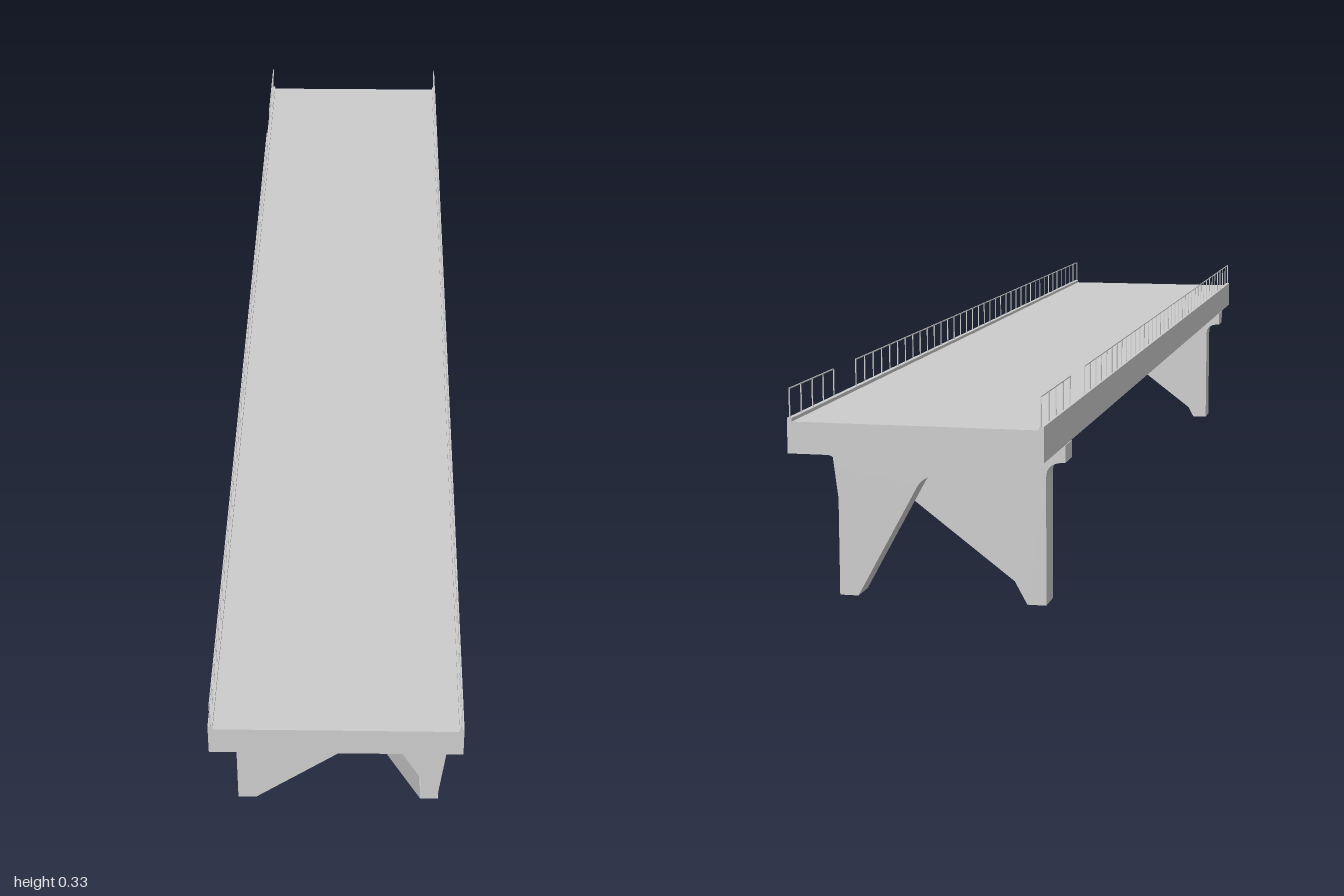
import * as THREE from 'three';
import { mergeGeometries } from 'three/addons/utils/BufferGeometryUtils.js';

const solid = new THREE.MeshStandardMaterial({ color: 0xcccccc, flatShading: true });
const thin = new THREE.MeshStandardMaterial({ color: 0xcccccc, flatShading: true, side: THREE.DoubleSide });
const HALF = 0.0225; // half thickness of a pier

function part(name, geometry, material = solid) {
  const mesh = new THREE.Mesh(geometry, material);
  mesh.name = name;
  return mesh;
}

function box(w, h, d, x, y, z) {
  return new THREE.BoxGeometry(w, h, d).translate(x, y, z);
}

// Inverted V under a cap beam, with rounded haunches and crown
function pierOutline() {
  const s = new THREE.Shape();
  s.moveTo(-0.183, 0.235);
  s.lineTo(-0.183, 0.21);
  s.quadraticCurveTo(-0.155, 0.21, -0.155, 0.188);
  s.lineTo(-0.155, 0);
  s.lineTo(-0.127, 0);
  s.lineTo(-0.036, 0.166);
  s.quadraticCurveTo(-0.026, 0.184, 0, 0.184);
  s.quadraticCurveTo(0.026, 0.184, 0.036, 0.166);
  s.lineTo(0.127, 0);
  s.lineTo(0.155, 0);
  s.lineTo(0.155, 0.188);
  s.quadraticCurveTo(0.155, 0.21, 0.183, 0.21);
  s.lineTo(0.183, 0.235);
  return s;
}

// Front plate: wide diagonal web on one side, narrow tapered leg on the other
function frontOutline() {
  const s = new THREE.Shape();
  s.moveTo(-0.183, 0.235);
  s.lineTo(-0.183, 0.21);
  s.quadraticCurveTo(-0.155, 0.21, -0.155, 0.188);
  s.lineTo(-0.155, 0);
  s.lineTo(-0.127, 0);
  s.lineTo(0.127, 0.192);
  s.lineTo(0.127, 0);
  s.lineTo(0.153, 0);
  s.lineTo(0.1795, 0.21);
  s.lineTo(0.183, 0.21);
  s.lineTo(0.183, 0.235);
  return s;
}

// Walls running around the outline between the two plates
function wallGeometry(points) {
  const pos = [];
  points.forEach((a, i) => {
    const b = points[(i + 1) % points.length];
    pos.push(a.x, a.y, HALF, a.x, a.y, -HALF, b.x, b.y, -HALF);
    pos.push(a.x, a.y, HALF, b.x, b.y, -HALF, b.x, b.y, HALF);
  });
  const g = new THREE.BufferGeometry();
  g.setAttribute('position', new THREE.Float32BufferAttribute(pos, 3));
  g.computeVertexNormals();
  return g;
}

function makePier(name, z) {
  const pier = new THREE.Group();
  pier.name = name;
  const outline = pierOutline();
  pier.add(
    part('pierBackPlate', new THREE.ShapeGeometry(outline, 8).translate(0, 0, -HALF), thin),
    part('pierFrontPlate', new THREE.ShapeGeometry(frontOutline(), 8).translate(0, 0, HALF), thin),
    part('pierWalls', wallGeometry(outline.getPoints(8)), thin),
  );
  pier.position.z = z;
  return pier;
}

// Handrail with evenly spaced posts from z0 to z1
function railGeometry(x, z0, z1) {
  const t = 0.0016, y0 = 0.283, y1 = 0.327;
  const pieces = [box(t, t, z1 - z0, x, y1 - t / 2, (z0 + z1) / 2)];
  const n = Math.round((z1 - z0) / 0.045);
  for (let i = 0; i <= n; i++) {
    const z = z0 + t / 2 + ((z1 - z0 - t) * i) / n;
    pieces.push(box(t, y1 - y0, t, x, (y0 + y1) / 2, z));
  }
  return mergeGeometries(pieces);
}

export function createModel() {
  const bridge = new THREE.Group();
  bridge.name = 'bridge';

  // Road deck
  bridge.add(part('deck', box(0.35, 0.045, 2, 0, 0.2575, 0)));

  // Curbs and railings, with a gap near the rear end
  for (const side of [-1, 1]) {
    const label = side > 0 ? 'left' : 'right';
    bridge.add(part(label + 'Curb', box(0.007, 0.05, 2, side * 0.1785, 0.26, 0)));
    bridge.add(part(label + 'LongRailing', railGeometry(side * 0.178, -0.7, 1)));
    bridge.add(part(label + 'ShortRailing', railGeometry(side * 0.178, -1, -0.805)));
  }

  // Piers
  bridge.add(makePier('frontPier', 0.842), makePier('rearPier', -0.84));
  return bridge;
}
